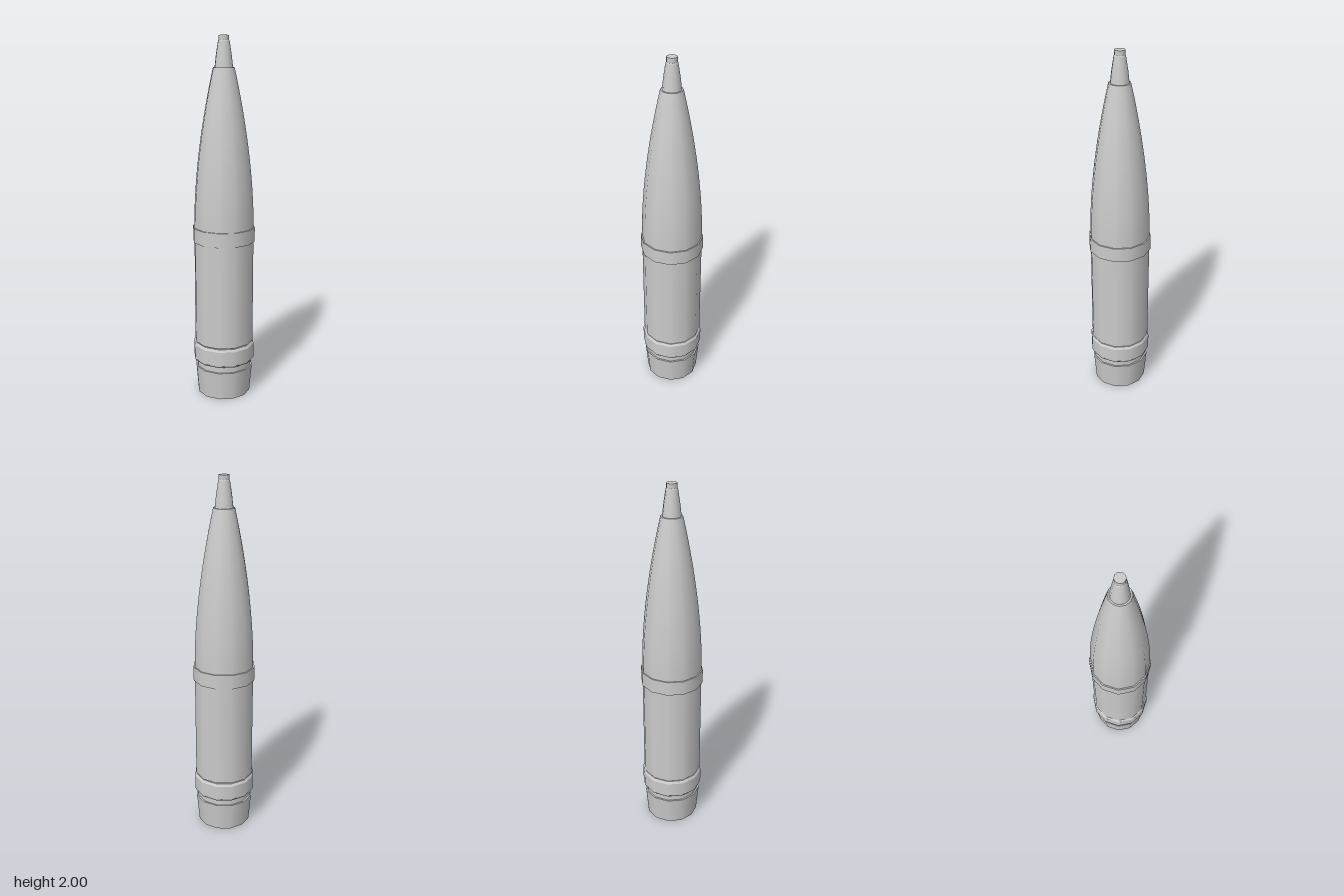
import * as THREE from 'three';

const SIDES = 12;

// Each run of [radius, height] points is smooth inside; edges between runs stay sharp.
function turned(name, runs, material) {
  const part = new THREE.Group();
  part.name = name;
  runs.forEach((run, i) => {
    const points = run.map(([r, y]) => new THREE.Vector2(r, y));
    const mesh = new THREE.Mesh(new THREE.LatheGeometry(points, SIDES), material);
    mesh.name = `${name}Surface${i + 1}`;
    part.add(mesh);
  });
  return part;
}

// Joins corner points into sharp-edged straight runs.
const sharp = (corners) => corners.slice(1).map((c, i) => [corners[i], c]);

export function createModel() {
  const model = new THREE.Group();
  model.name = 'shell';
  const grey = new THREE.MeshStandardMaterial({ color: 0xcccccc });

  // Tapered base, closed underneath, with the groove above it
  model.add(turned('taperedBase', sharp([
    [0, 0], [0.15, 0], [0.164, 0.163], [0.155, 0.163], [0.155, 0.205],
  ]), grey));

  // Raised driving band with chamfered edges
  model.add(turned('drivingBand', sharp([
    [0.155, 0.2], [0.167, 0.2], [0.173, 0.21], [0.173, 0.293], [0.164, 0.307], [0.155, 0.307],
  ]), grey));

  // Straight body
  model.add(turned('body', sharp([[0.155, 0.313], [0.166, 0.313], [0.166, 0.98]]), grey));
  model.add(turned('bodyNeck', [[[0.155, 0.3], [0.155, 0.313]]], grey));

  // Raised guide band
  model.add(turned('guideBand', sharp([
    [0.16, 0.895], [0.173, 0.895], [0.173, 0.975], [0.16, 0.975],
  ]), grey));

  // Curved nose
  const nose = [];
  for (let i = 0; i <= 14; i++) {
    const t = i / 14;
    nose.push([0.166 - 0.108 * Math.pow(t, 1.8), 0.98 + 0.855 * t]);
  }
  model.add(turned('nose', [nose, [[0.058, 1.835], [0.045, 1.835]]], grey));

  // Fuse cone and flat tip
  model.add(turned('fuse', [
    [[0.05, 1.83], [0.042, 1.9], [0.031, 1.97]],
    [[0.031, 1.97], [0.028, 1.975]],
    [[0.028, 1.975], [0.028, 2]],
    [[0.028, 2], [0, 2]],
  ], grey));

  return model;
}
